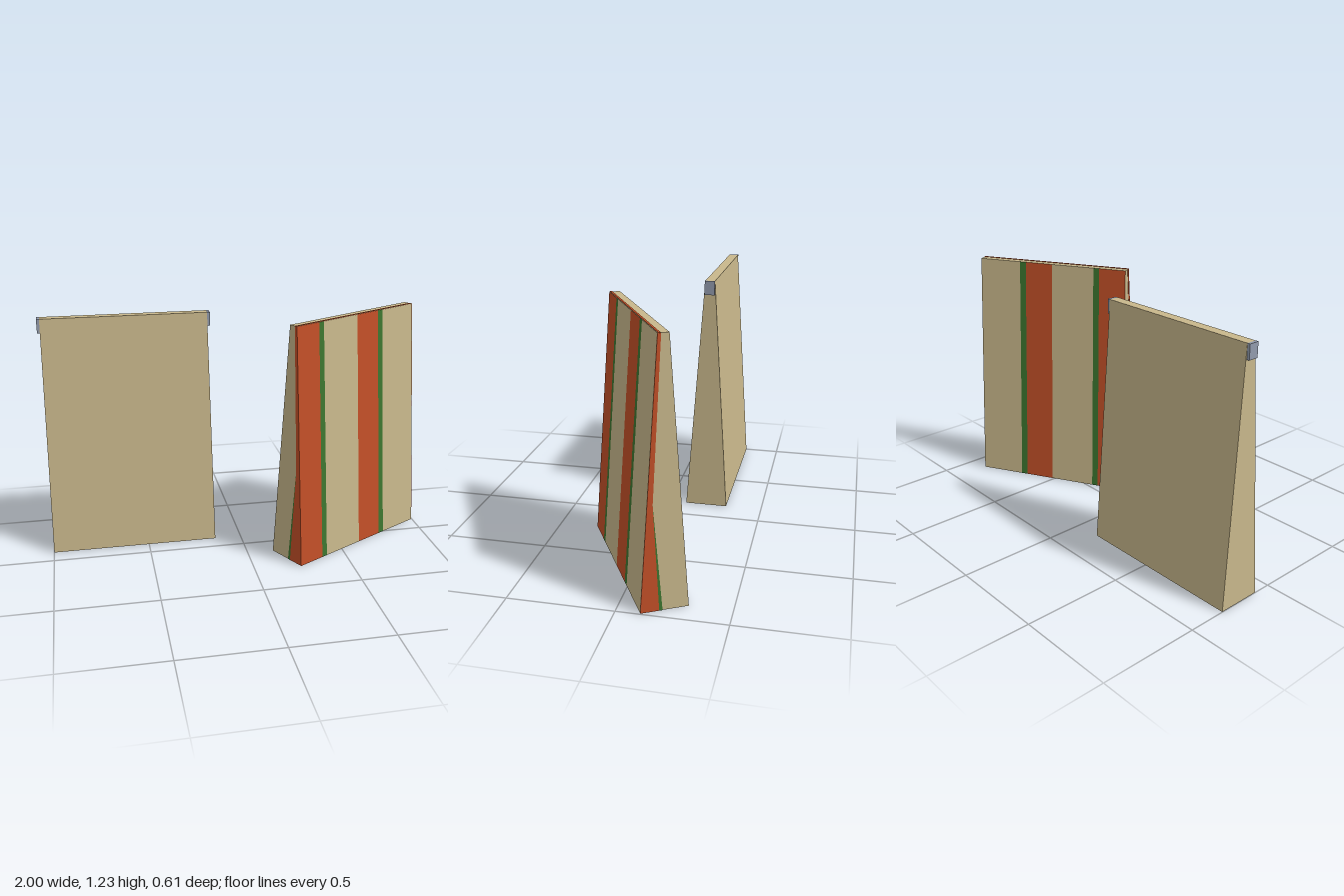
import * as THREE from 'three';

const H = 1.23, WB = 0.86, WT = 0.83, DB = 0.22, DT = 0.05;

export function createModel() {
  const mat = (name, color) => {
    const m = new THREE.MeshStandardMaterial({ color });
    m.name = name;
    return m;
  };
  const beige = mat('sand', 0xc8b78b);
  const orange = mat('rust orange', 0xc24f27);
  const green = mat('leaf green', 0x3c752f);
  const grey = mat('steel grey', 0x929bad);

  const add = (parent, name, geo, material) => {
    const m = new THREE.Mesh(geo, material);
    m.name = name;
    parent.add(m);
    return m;
  };

  // Slice of the wedge between two positions along its width, tapering upward
  const slice = (x0, x1) => {
    const g = new THREE.BoxGeometry(x1 - x0, H, 1);
    g.translate((x0 + x1) / 2, H / 2, 0);
    const p = g.attributes.position;
    for (let i = 0; i < p.count; i++) {
      const t = p.getY(i) / H;
      p.setX(i, p.getX(i) * THREE.MathUtils.lerp(1, WT / WB, t));
      p.setZ(i, p.getZ(i) * THREE.MathUtils.lerp(DB, DT, t));
    }
    g.computeVertexNormals();
    return g;
  };

  // Thin plate on an end face; points are [distance from front edge, height]
  const endPlate = (points, side) => {
    const pts = points.map(([d, y]) =>
      new THREE.Vector2(THREE.MathUtils.lerp(DB, DT, y / H) / 2 - d, y));
    const g = new THREE.ExtrudeGeometry(new THREE.Shape(pts), { depth: 0.004, bevelEnabled: false });
    g.translate(0, 0, -0.002);
    g.rotateY(-Math.PI / 2);
    const p = g.attributes.position;
    for (let i = 0; i < p.count; i++) {
      p.setX(i, p.getX(i) + side * THREE.MathUtils.lerp(WB, WT, p.getY(i) / H) / 2);
    }
    g.computeVertexNormals();
    return g;
  };

  const model = new THREE.Group();

  // Plain wedge with a steel bar showing at both ends of the ridge
  const plain = new THREE.Group();
  plain.name = 'plainWedge';
  plain.position.set(-0.57, 0, -0.2);
  add(plain, 'plainBody', slice(-WB / 2, WB / 2), beige);
  for (const s of [-1, 1]) {
    add(plain, 'ridgeBarEnd', new THREE.BoxGeometry(0.015, 0.07, DT), grey)
      .position.set(s * 0.422, H - 0.035, 0);
    const spot = add(plain, 'baseSpot', new THREE.CircleGeometry(1, 24).rotateX(Math.PI / 2), orange);
    spot.scale.set(0.09, 1, 0.04);
    spot.position.set(s * 0.215, -0.001, 0);
  }
  model.add(plain);

  // Striped wedge, turned; the ends and ridge stay plain
  const striped = new THREE.Group();
  striped.name = 'stripedWedge';
  striped.position.set(0.565, 0, 0);
  striped.rotation.y = THREE.MathUtils.degToRad(28.8);
  const edges = [-0.43, -0.28, -0.247, -0.003, 0.155, 0.19, 0.43];
  const colours = [orange, green, beige];
  for (let i = 0; i < 6; i++) {
    const c = colours[i % 3];
    add(striped, 'stripe', slice(edges[i], edges[i + 1]), [beige, beige, beige, c, c, c]);
  }

  // Rust and green edging on both ends
  for (const s of [-1, 1]) {
    add(striped, 'endFlash',
      endPlate([[0, 0], [0.085, 0], [0.025, 0.5], [0.015, H], [0, H]], s), orange);
    add(striped, 'endTrim', endPlate([[0.085, 0], [0.1, 0], [0.025, 0.5]], s), green);
  }

  // Narrow piping along the ridge
  add(striped, 'ridgePiping', new THREE.BoxGeometry(WT, 0.004, 0.01), orange)
    .position.set(0, H, DT / 2 - 0.008);
  model.add(striped);

  return model;
}
